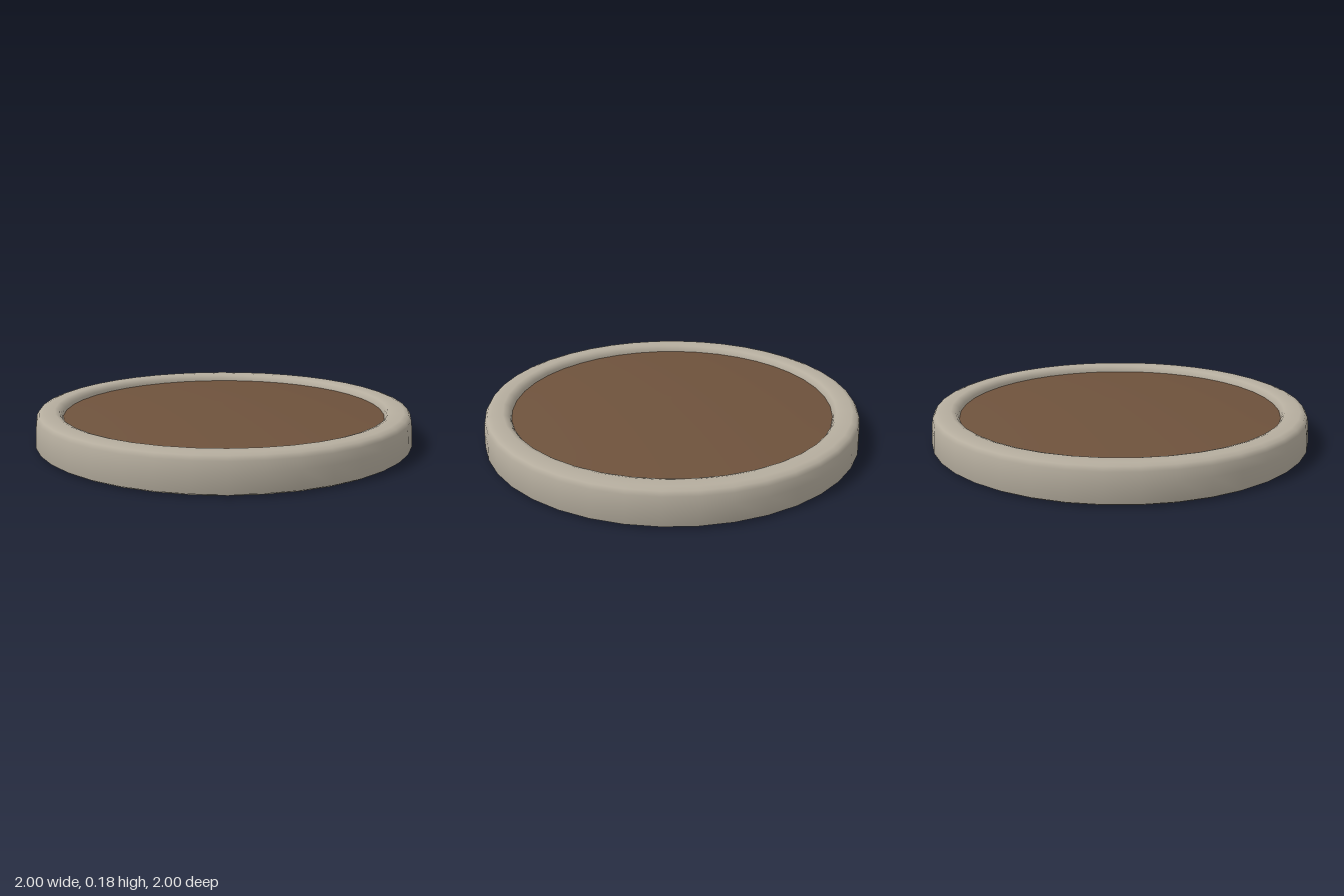
import * as THREE from 'three';

const SEGMENTS = 40;

// Lathe from [radius, height] pairs
function lathe(name, pairs, material) {
  const points = pairs.map(([r, y]) => new THREE.Vector2(r, y));
  const mesh = new THREE.Mesh(new THREE.LatheGeometry(points, SEGMENTS), material);
  mesh.name = name;
  return mesh;
}

export function createModel() {
  const stone = new THREE.MeshStandardMaterial({ name: 'pale stone', color: 0xb5ad9e });
  const earth = new THREE.MeshStandardMaterial({ name: 'brown earth', color: 0x6e523c, side: THREE.DoubleSide });

  const model = new THREE.Group();
  model.name = 'roundBed';

  // Rim: closed section, from the inner foot around the outside and back
  model.add(lathe('rim', [
    [0.845, 0], [0.98, 0], [1, 0.012], [0.995, 0.1], [0.988, 0.15],
    [0.975, 0.17], [0.95, 0.178], [0.895, 0.178], [0.872, 0.17],
    [0.858, 0.152], [0.85, 0.125], [0.845, 0],
  ], stone));

  // Soil: very shallow dome set just below the rim
  const dome = [];
  for (let i = 0; i <= 8; i++) {
    const t = 1 - i / 8;
    dome.push([0.855 * t, 0.18 - 0.042 * t * t]);
  }
  model.add(lathe('soil', dome, earth));

  return model;
}
